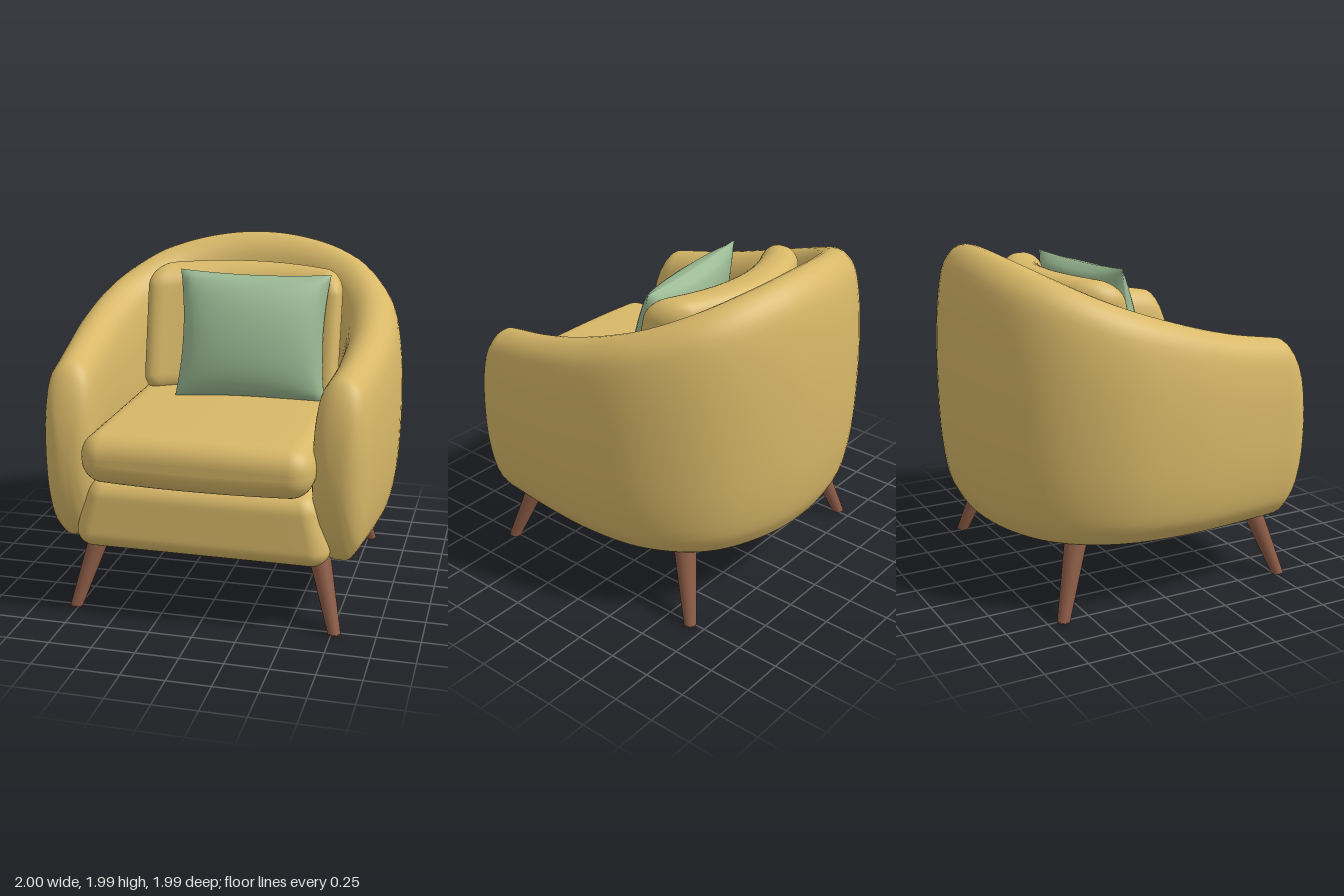
import * as THREE from 'three';
import { mergeVertices } from 'three/addons/utils/BufferGeometryUtils.js';

const fabric = new THREE.MeshStandardMaterial({ color: 0xd8b868 });
fabric.name = 'mustard fabric';
const pillowFabric = new THREE.MeshStandardMaterial({ color: 0x9ab993 });
pillowFabric.name = 'sage fabric';
const wood = new THREE.MeshStandardMaterial({ color: 0x8a5a45 });
wood.name = 'brown wood';

function part(name, geometry, material) {
  const mesh = new THREE.Mesh(geometry, material);
  mesh.name = name;
  return mesh;
}

// Moves every vertex by a rule, then welds and smooths the surface
function reshape(geometry, rule) {
  geometry.deleteAttribute('uv');
  geometry.deleteAttribute('normal');
  const pos = geometry.attributes.position;
  const v = new THREE.Vector3();
  for (let i = 0; i < pos.count; i++) {
    rule(v.fromBufferAttribute(pos, i));
    pos.setXYZ(i, v.x, v.y, v.z);
  }
  const welded = mergeVertices(geometry, 1e-5);
  welded.computeVertexNormals();
  return welded;
}

// Box with round edges, finely divided so that it can be bent by a rule
function softBox(w, h, d, r, rule) {
  const n = 20, edge = 5;
  const spread = (u, half) => {
    const k = Math.round((u + 0.5) * n);
    const core = half - r;
    if (k < edge) return -core - r * Math.tan((1 - k / edge) * Math.PI / 4);
    if (k > n - edge) return core + r * Math.tan((1 - (n - k) / edge) * Math.PI / 4);
    return core * (2 * (k - edge) / (n - 2 * edge) - 1);
  };
  const core = new THREE.Vector3(w / 2 - r, h / 2 - r, d / 2 - r);
  const low = core.clone().negate();
  const inner = new THREE.Vector3();
  return reshape(new THREE.BoxGeometry(1, 1, 1, n, n, n), (p) => {
    p.set(spread(p.x, w / 2), spread(p.y, h / 2), spread(p.z, d / 2));
    inner.copy(p).clamp(low, core);
    p.sub(inner).setLength(r).add(inner);
    rule(p);
  });
}

// Arms and back: one padded section swept around a U, with domed ends
function shellGeometry() {
  const half = [
    [-0.775, 1.475, 0.68], [-0.81, 1.54, 0.35], [-0.82, 1.64, 0], [-0.76, 1.765, -0.35],
    [-0.58, 1.89, -0.62], [-0.3, 1.965, -0.76],
  ];
  const mirrored = half.map(([x, y, z]) => [-x, y, z]).reverse();
  const path = new THREE.CatmullRomCurve3(
    [...half, [0, 1.99, -0.8], ...mirrored].map((p) => new THREE.Vector3(...p)));

  // Section: x is outward, y is the fraction of the height
  const side = [[0.3, 0.005], [0.55, 0.05], [0.78, 0.12], [0.95, 0.28], [1, 0.5],
    [0.95, 0.72], [0.78, 0.89], [0.48, 0.968]];
  const section = new THREE.CatmullRomCurve3([
    [0, 0], ...side, [0, 1], ...side.map(([x, y]) => [-x, y]).reverse(),
  ].map(([x, y]) => new THREE.Vector3(x, y, 0)), true).getPoints(56).slice(0, 56);

  const stations = [];
  const caps = 10, steps = 64, dome = 0.185;
  for (let k = caps; k > 0; k--) stations.push([0, k / caps]);
  for (let i = 0; i <= steps; i++) stations.push([i / steps, 0]);
  for (let k = 1; k <= caps; k++) stations.push([1, k / caps]);

  const floor = 0.42, points = [], index = [];
  const m = section.length;
  stations.forEach(([t, cap], i) => {
    const p = path.getPointAt(t);
    const dir = path.getTangentAt(t).setY(0).normalize();
    const width = 0.19 - 0.03 * THREE.MathUtils.smoothstep(p.z, -0.35, 0.7);
    const angle = cap * Math.PI / 2;
    const shrink = cap === 1 ? 0 : Math.cos(angle);
    const push = Math.sin(angle) * dome * (t < 0.5 ? -1 : 1);
    const mid = (p.y + floor) / 2;
    for (const s of section) {
      const out = s.x * width * shrink ** 0.7;
      points.push(
        p.x + dir.x * push + dir.z * out,
        mid + (s.y - 0.5) * (p.y - floor) * shrink,
        p.z + dir.z * push - dir.x * out);
    }
    if (i === 0) return;
    for (let j = 0; j < m; j++) {
      const a = (i - 1) * m + j, b = (i - 1) * m + (j + 1) % m;
      index.push(a, b, a + m, b, b + m, a + m);
    }
  });
  const geometry = new THREE.BufferGeometry();
  geometry.setAttribute('position', new THREE.Float32BufferAttribute(points, 3));
  geometry.setIndex(index);
  const welded = mergeVertices(geometry, 1e-5);
  welded.computeVertexNormals();
  return welded;
}

// Thin-edged pillow with pulled-out corners
function pillowGeometry() {
  return reshape(new THREE.BoxGeometry(2, 2, 2, 28, 28, 1), (p) => {
    const u = p.x, v = p.y;
    const a = Math.max(0, 1 - u * u), b = Math.max(0, 1 - v * v);
    p.set(
      u * 0.45 * (1 - 0.07 * b * u * u),
      v * 0.38 * (1 - 0.05 * a * v * v),
      Math.sign(p.z) * (0.005 + 0.145 * (a * b) ** 0.5));
  });
}

export function createModel() {
  const chair = new THREE.Group();
  chair.name = 'armchair';
  chair.add(part('armsAndBack', shellGeometry(), fabric));

  // Seat base: flared at the bottom, rounded in plan towards the back
  chair.add(part('seatBase', softBox(1.36, 0.41, 1.66, 0.1, (p) => {
    const low = 0.5 - p.y / 0.41;
    p.x *= 0.97 + 0.11 * THREE.MathUtils.smoothstep(low, 0, 0.85);
    p.y += 0.615;
    p.z += 0.05;
    if (p.z > 0.5) p.z += 0.03 * low - 0.03;
    const back = Math.min(1, Math.max(0, (-0.1 - p.z) / 0.8));
    p.x *= Math.sqrt(1 - 0.9 * back * back);
  }), fabric));

  // Seat cushion with a slight crown
  chair.add(part('seatCushion', softBox(1.31, 0.28, 1.55, 0.125, (p) => {
    const crown = Math.max(0, 1 - (p.x / 0.66) ** 2);
    p.y += 0.98 + Math.sign(p.y) * 0.015 * crown;
    p.z += 0.215 + (p.z > 0 ? 0.01 * crown : 0);
  }), fabric));

  // Back cushion: leans back and curves around the sitter
  chair.add(part('backCushion', softBox(1.2, 0.77, 0.27, 0.12, (p) => {
    const x = p.x / 0.6;
    p.z += -0.39 - 0.21 * p.y + 0.2 * x * x;
    p.y += 1.46 + 0.01 * (1 - x * x);
  }), fabric));

  const pillow = part('throwPillow', pillowGeometry(), pillowFabric);
  pillow.position.set(0.1, 1.487, -0.04);
  pillow.rotation.set(-0.24, 0.12, -0.02, 'YXZ');
  chair.add(pillow);

  // Splayed tapered legs
  for (const [name, topZ, footZ] of [['frontLeg', 0.62, 0.77], ['backLeg', -0.51, -0.66]]) {
    for (const s of [-1, 1]) {
      const leg = new THREE.CylinderGeometry(0.068, 0.037, 0.46, 20);
      const shear = new THREE.Matrix4().set(
        1, s * (0.635 - 0.765) / 0.46, 0, s * 0.7,
        0, 1, 0, 0.235,
        0, (topZ - footZ) / 0.46, 1, (topZ + footZ) / 2,
        0, 0, 0, 1);
      leg.applyMatrix4(shear);
      chair.add(part(name + (s > 0 ? 'Left' : 'Right'), leg, wood));
      const tip = new THREE.CylinderGeometry(0.037, 0.03, 0.01, 20);
      tip.translate(s * 0.765, 0.005, footZ);
      chair.add(part(name + 'Tip' + (s > 0 ? 'Left' : 'Right'), tip, wood));
    }
  }
  return chair;
}
